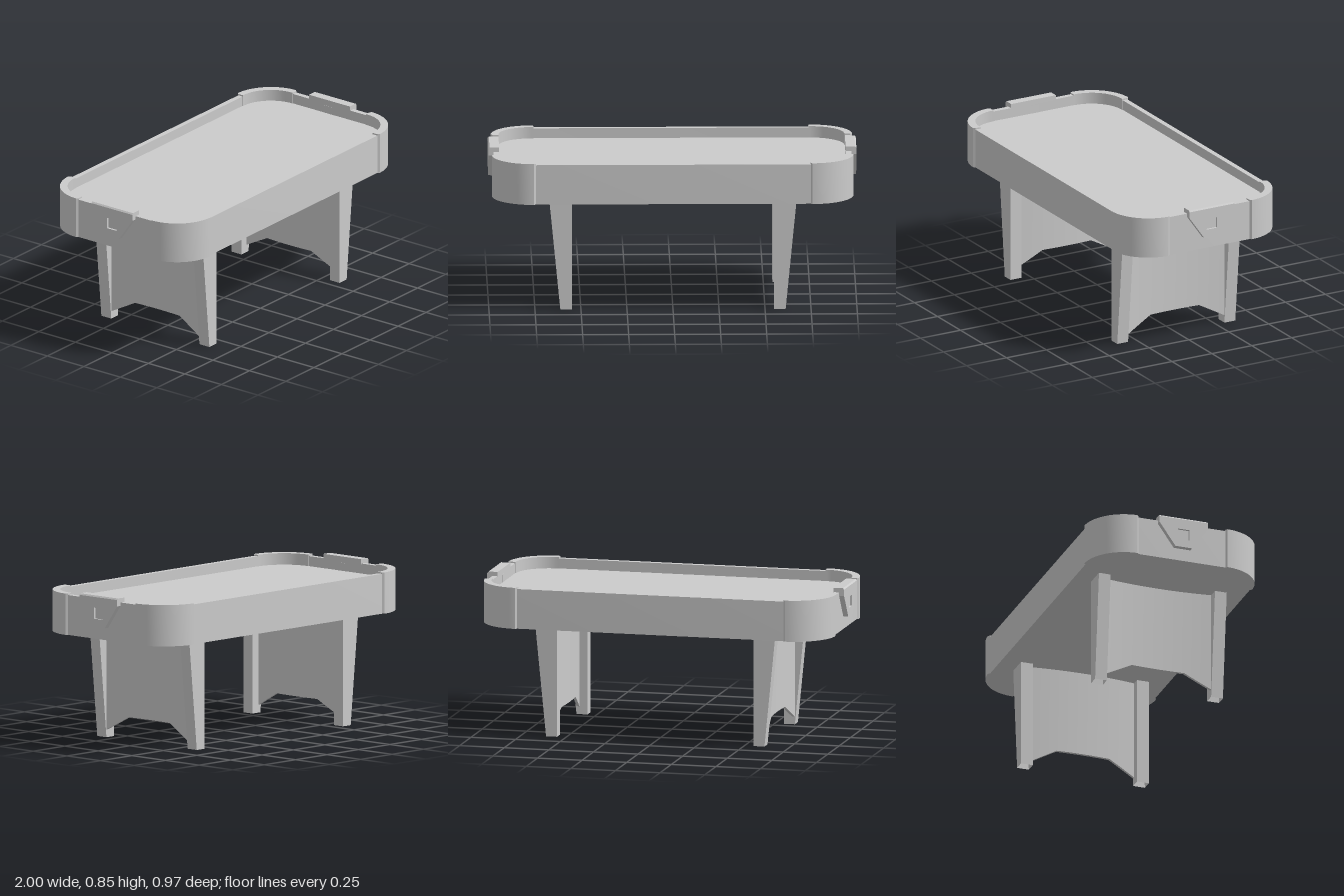
import * as THREE from 'three';
import { toCreasedNormals } from 'three/addons/utils/BufferGeometryUtils.js';

const grey = new THREE.MeshStandardMaterial({ color: 0xcccccc });
const greyOpen = new THREE.MeshStandardMaterial({ color: 0xcccccc, side: THREE.DoubleSide });

const BASE = 0.608, RIM = 0.827, BED = 0.772;  // heights of underside, rim and playing bed
const CX = 0.753, CZ = 0.257;                  // centre of each rounded corner

function add(parent, name, geometry, material = grey) {
  const mesh = new THREE.Mesh(geometry, material);
  mesh.name = name;
  parent.add(mesh);
  return mesh;
}

// Rounded rectangle whose corners are arcs of radius r about (CX, CZ)
function roundedRect(r, PathType = THREE.Shape) {
  const p = new PathType();
  p.absarc(CX, CZ, r, 0, Math.PI / 2);
  p.absarc(-CX, CZ, r, Math.PI / 2, Math.PI);
  p.absarc(-CX, -CZ, r, Math.PI, Math.PI * 1.5);
  p.absarc(CX, -CZ, r, Math.PI * 1.5, Math.PI * 2);
  p.closePath();
  return p;
}

// Extrude a plan shape upward from y0 to y1
function extrudeUp(shape, y0, y1) {
  const g = new THREE.ExtrudeGeometry(shape, { depth: y1 - y0, bevelEnabled: false, curveSegments: 10 });
  g.rotateX(-Math.PI / 2).translate(0, y0, 0);
  return toCreasedNormals(g, 0.5);
}

// Corner guard: quarter ring with slanted ends
function guardGeometry() {
  const s = new THREE.Shape();
  const rIn = 0.187, rWall = 0.219, rOut = 0.229, trim = 0.015;
  s.moveTo(rIn, -0.006);
  s.lineTo(rWall, -0.006);
  s.absarc(0, 0, rOut, trim, Math.PI / 2 - trim);
  s.lineTo(-0.006, rWall);
  s.lineTo(-0.006, rIn);
  s.absarc(0, 0, rIn, Math.PI / 2, 0, true);
  s.closePath();
  return extrudeUp(s, BASE, 0.835);
}

// Leg tapering toward the foot, open at top and bottom
function legGeometry() {
  const g = new THREE.BoxGeometry(1, 1, 0.068);
  const p = g.attributes.position;
  for (let i = 0; i < p.count; i++) {
    const top = p.getY(i) > 0;
    const outer = p.getX(i) > 0;
    p.setXY(i, outer ? (top ? 0.672 : 0.612) : 0.55, top ? BASE : 0);
  }
  const index = Array.from(g.index.array);
  g.setIndex([...index.slice(0, 12), ...index.slice(24)]);
  g.computeVertexNormals();
  return g;
}

// Curved panel between two legs, with an arched lower edge
function panelGeometry() {
  const half = 0.304;
  const g = new THREE.BoxGeometry(0.016, 1, half * 2, 1, 1, 24);
  const p = g.attributes.position;
  for (let i = 0; i < p.count; i++) {
    const t = Math.abs(p.getZ(i)) / half;
    const lower = 0.124 - 0.082 * Math.max(0, 2 * t - 1);
    p.setX(i, p.getX(i) + 0.582 + 0.022 * t * t);
    p.setY(i, p.getY(i) > 0 ? BASE : lower);
  }
  return toCreasedNormals(g, 0.5);
}

// Goal plate on the outside of an end wall, with a square window
function goalPlateGeometry() {
  const s = new THREE.Shape([[-0.14, 0.84], [-0.14, 0.808], [-0.048, 0.678], [0.048, 0.678],
    [0.14, 0.808], [0.14, 0.84]].map(([z, y]) => new THREE.Vector2(z, y)));
  s.holes.push(new THREE.Path([[-0.033, 0.723], [-0.033, 0.784], [0.033, 0.784], [0.033, 0.723]]
    .map(([z, y]) => new THREE.Vector2(z, y))));
  const g = new THREE.ExtrudeGeometry(s, { depth: 0.03, bevelEnabled: false });
  return g.rotateY(Math.PI / 2).translate(0.97, 0, 0);
}

// Lip that folds over the rim, chamfered along its outer edge
function goalLipGeometry() {
  const s = new THREE.Shape([[0.941, 0.822], [1, 0.822], [1, 0.843], [0.993, 0.851],
    [0.941, 0.851]].map(([x, y]) => new THREE.Vector2(x, y)));
  const g = new THREE.ExtrudeGeometry(s, { depth: 0.28, bevelEnabled: false });
  return g.translate(0, 0, -0.14);
}

export function createModel() {
  const model = new THREE.Group();
  model.name = 'airHockeyTable';

  // Table body: surrounding wall and sunken playing bed
  const wall = roundedRect(0.219);
  wall.holes.push(roundedRect(0.19, THREE.Path));
  add(model, 'tableWall', extrudeUp(wall, BASE, RIM));
  add(model, 'playingBed', extrudeUp(roundedRect(0.2), BASE, BED));

  // Corner guards
  const guard = guardGeometry();
  [[1, -1], [-1, -1], [-1, 1], [1, 1]].forEach(([sx, sz], i) => {
    const m = add(model, 'cornerGuard', guard);
    m.position.set(sx * CX, 0, sz * CZ);
    m.rotation.y = i * Math.PI / 2;
  });

  // Both ends: a pair of legs with their panel, and a goal
  const leg = legGeometry(), panel = panelGeometry();
  const plate = goalPlateGeometry(), lip = goalLipGeometry();
  const slot = new THREE.BoxGeometry(0.046, 0.095, 0.068).translate(0.965, 0.768, 0);
  for (const [name, turn] of [['leftEnd', 0], ['rightEnd', Math.PI]]) {
    const end = new THREE.Group();
    end.name = name;
    end.rotation.y = turn;
    for (const side of [-1, 1]) add(end, 'leg', leg, greyOpen).position.z = side * 0.336;
    add(end, 'legPanel', panel);
    add(end, 'goalPlate', plate);
    add(end, 'goalLip', lip);
    add(end, 'goalSlot', slot);
    model.add(end);
  }
  return model;
}
